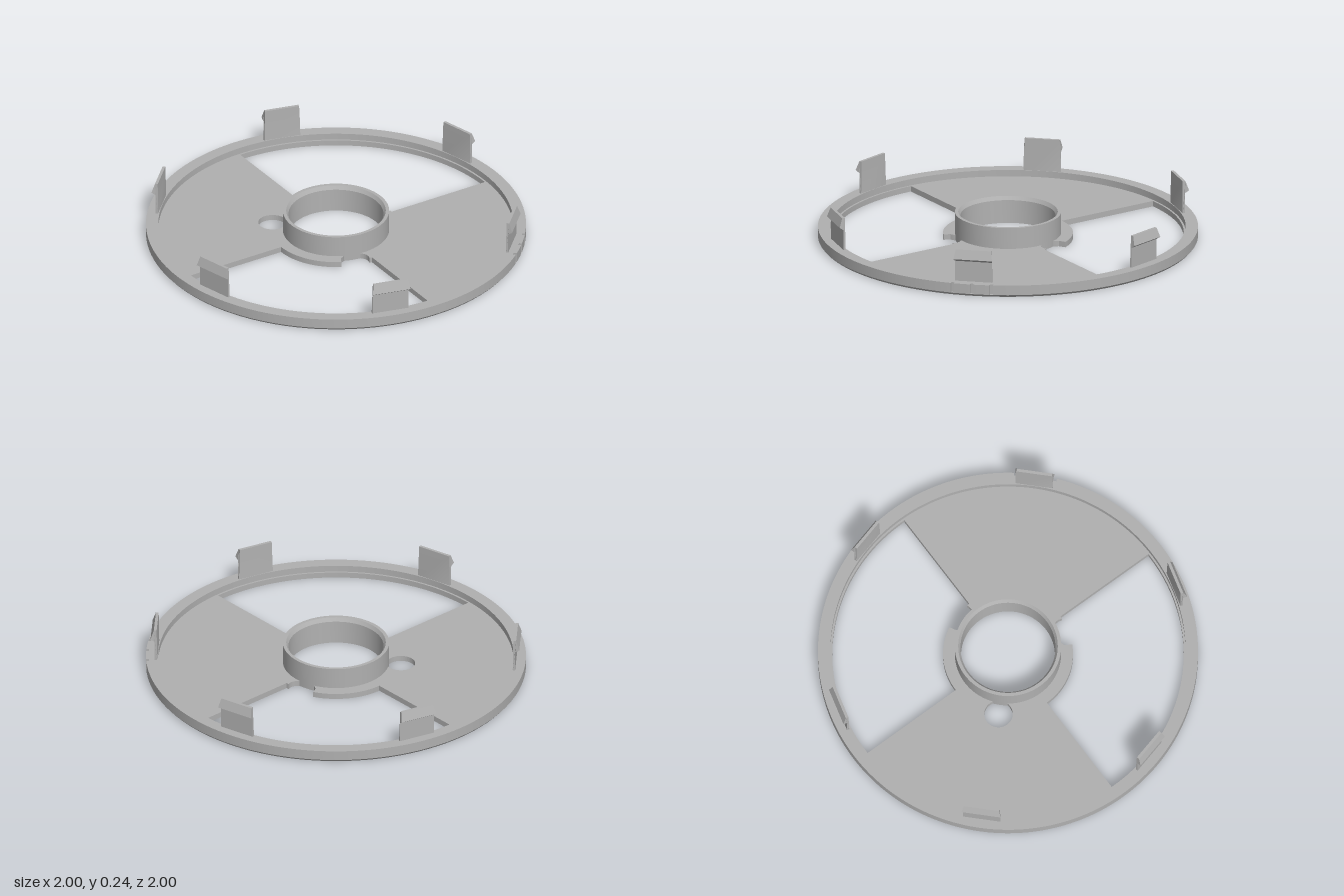
import * as THREE from 'three';
import { toCreasedNormals } from 'three/addons/utils/BufferGeometryUtils.js';

const SEG = 120;
const PLATE_H = 0.03, RIM_H = 0.065;

export function createModel() {
  const group = new THREE.Group();
  const grey = new THREE.MeshStandardMaterial({ color: 0xb0b0b0 });

  const add = (name, geometry) => {
    const mesh = new THREE.Mesh(toCreasedNormals(geometry, 0.5), grey);
    mesh.name = name;
    group.add(mesh);
    return mesh;
  };
  // Extrude a plan outline upwards from y0 to y1
  const slab = (shape, y0, y1) =>
    new THREE.ExtrudeGeometry(shape, { depth: y1 - y0, bevelEnabled: false, curveSegments: SEG })
      .rotateX(-Math.PI / 2).translate(0, y0, 0);
  // Revolve a closed (radius, height) loop
  const ring = (pts) =>
    new THREE.LatheGeometry([...pts, pts[0]].map(([r, y]) => new THREE.Vector2(r, y)), SEG);

  // Outer rim, with three small slots on its +x side
  const rim = new THREE.Shape();
  const slots = [-0.105, 0, 0.105], half = 0.009;
  const polar = (r, a) => [r * Math.cos(a), r * Math.sin(a)];
  rim.moveTo(...polar(1, slots[0] + half));
  slots.forEach((s, i) => {
    const next = i < 2 ? slots[i + 1] : slots[0] + Math.PI * 2;
    rim.absarc(0, 0, 1, s + half, next - half, false);
    rim.lineTo(...polar(0.985, next - half));
    rim.lineTo(...polar(0.985, next + half));
  });
  rim.closePath();
  rim.holes.push(new THREE.Path().absarc(0, 0, 0.935, 0, Math.PI * 2, true));
  add('rim', slab(rim, 0.012, RIM_H));

  // Chamfered foot of the rim and its inner ledge
  add('rimFoot', ring([
    [0.94, PLATE_H], [0.925, PLATE_H], [0.925, 0], [0.99, 0], [1, 0.012], [0.94, 0.012],
  ]));

  // Wedge plate on -x, with the flange wrapping round the hub and a round hole
  const a = Math.atan2(0.645, 0.655), R = 0.93, hubMid = 0.265;
  const left = new THREE.Shape();
  left.absarc(0, 0, R, Math.PI - a, Math.PI + a, false);
  left.lineTo(-0.243, -0.243);
  left.absarc(0, 0, 0.342, Math.PI * 1.25, Math.PI * 1.5 + 0.3, false);
  left.lineTo(0.09, -0.29);
  left.lineTo(0.1, -0.265);
  const e = Math.PI * 0.5 - 0.38;
  left.absarc(0, 0, hubMid, -e, e - Math.PI * 2, true);
  left.lineTo(0.1, 0.265);
  left.lineTo(0.09, 0.29);
  left.absarc(0, 0, 0.342, Math.PI * 0.5 - 0.3, Math.PI * 0.75, false);
  left.closePath();
  left.holes.push(new THREE.Path().absarc(-0.342, 0, 0.075, 0, Math.PI * 2, true));
  add('wedgeWithFlange', slab(left, 0, PLATE_H));

  // Wedge plate on +x, with a small lip at each inner corner
  const right = new THREE.Shape();
  right.absarc(0, 0, R, -a, a, false);
  right.lineTo(0.247, 0.243);
  right.lineTo(0.235, 0.252);
  right.quadraticCurveTo(0.22, 0.215, 0.18, 0.217);
  right.absarc(0, 0, hubMid, 0.85, -0.85, true);
  right.lineTo(0.18, -0.217);
  right.quadraticCurveTo(0.22, -0.215, 0.235, -0.252);
  right.lineTo(0.247, -0.243);
  right.closePath();
  add('wedge', slab(right, 0, PLATE_H));

  // Hub collar, slightly wider at the mouth
  add('hub', ring([
    [0.262, 0.145], [0.25, 0.125], [0.247, 0], [0.28, 0], [0.28, 0.145],
  ]));

  // Six snap clips with outward hooks, narrowing towards the top
  const profile = new THREE.Shape([
    [0.937, 0.05], [0.95, 0.05], [0.95, 0.175], [0.972, 0.19], [0.955, 0.24], [0.94, 0.24],
  ].map(([x, y]) => new THREE.Vector2(x, y)));
  for (let i = 0; i < 6; i++) {
    const g = new THREE.ExtrudeGeometry(profile, { depth: 0.2, bevelEnabled: false }).translate(0, 0, -0.1);
    const p = g.attributes.position;
    for (let v = 0; v < p.count; v++) {
      if (p.getY(v) > 0.2) p.setZ(v, p.getZ(v) * 0.94);
      else if (p.getX(v) > 0.96) p.setZ(v, p.getZ(v) * 1.04);
    }
    add('clip', g).rotation.y = i * Math.PI / 3;
  }
  return group;
}
